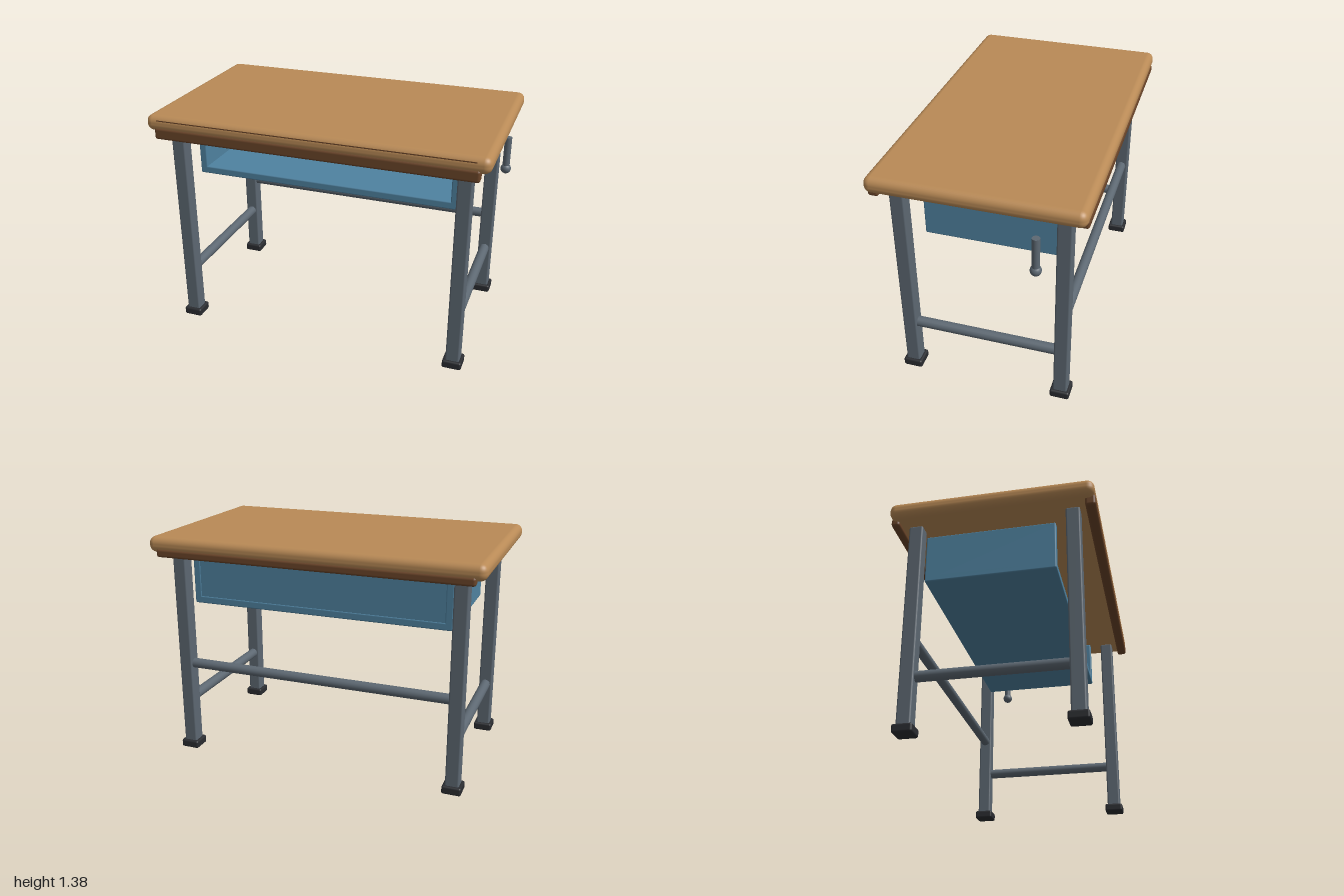
import * as THREE from 'three';
import { RoundedBoxGeometry } from 'three/addons/geometries/RoundedBoxGeometry.js';

const mat = (color) => new THREE.MeshStandardMaterial({ color });

export function createModel() {
  const desk = new THREE.Group();
  const wood = mat(0xb98a56), darkWood = mat(0x6b4529);
  const steel = mat(0x5d6872), rubber = mat(0x2a2c30), blue = mat(0x4f82a0);

  const add = (name, geometry, material, x, y, z, parent = desk) => {
    const mesh = new THREE.Mesh(geometry, material);
    mesh.name = name;
    mesh.position.set(x, y, z);
    parent.add(mesh);
    return mesh;
  };
  const rounded = (w, h, d, r, segments = 2) => new RoundedBoxGeometry(w, h, d, segments, r);
  const rod = (length, r) => new THREE.CylinderGeometry(r, r, length, 20);

  // Table top with a thin inlay along its front edge
  add('tableTop', rounded(2, 0.095, 1.18, 0.042, 4), wood, 0, 1.3325, 0);
  add('frontInlay', new THREE.BoxGeometry(1.85, 0.008, 0.02), darkWood, 0, 1.352, 0.578);

  // Edge rails under the front and back of the top
  add('frontApron', rounded(1.89, 0.07, 0.06, 0.015), darkWood, 0, 1.275, 0.561);
  add('backApron', rounded(1.89, 0.05, 0.05, 0.015), darkWood, 0, 1.285, -0.566);

  // Legs with rubber feet
  const legX = 0.853, legZ = 0.456;
  for (const sx of [-1, 1]) {
    for (const sz of [-1, 1]) {
      const leg = new THREE.Group();
      leg.name = (sz > 0 ? 'front' : 'back') + (sx > 0 ? 'Left' : 'Right') + 'Leg';
      leg.position.set(sx * legX, 0, sz * legZ);
      add('legPost', rounded(0.082, 1.255, 0.082, 0.01), steel, 0, 0.6475, 0, leg);
      add('foot', rounded(0.115, 0.05, 0.115, 0.012), rubber, 0, 0.025, 0, leg);
      desk.add(leg);
    }
    // Stretcher joining front and back leg
    add('sideStretcher', rod(legZ * 2, 0.031), steel, sx * legX, 0.33, 0).rotation.x = Math.PI / 2;
  }
  add('backStretcher', rod(legX * 2, 0.03), steel, 0, 0.57, -legZ).rotation.z = Math.PI / 2;

  // Book tray, open at the front
  const tray = new THREE.Group();
  tray.name = 'bookTray';
  desk.add(tray);
  add('trayFloor', rounded(1.6, 0.045, 0.765, 0.008), blue, 0, 0.9755, -0.0375, tray);
  for (const sx of [-1, 1]) {
    add('traySide', rounded(0.045, 0.302, 0.765, 0.008), blue, sx * 0.7775, 1.104, -0.0375, tray);
  }
  add('trayBack', rounded(1.53, 0.29, 0.045, 0.006), blue, 0, 1.11, -0.394, tray);

  // Bag hook with a ball end
  const hook = new THREE.Group();
  hook.name = 'bagHook';
  hook.position.set(0.955, 0, -0.325);
  add('hookRod', rod(0.2, 0.022), steel, 0, 1.065, 0, hook);
  add('hookBall', new THREE.SphereGeometry(0.032, 20, 14), steel, 0, 0.96, 0, hook);
  desk.add(hook);

  return desk;
}
